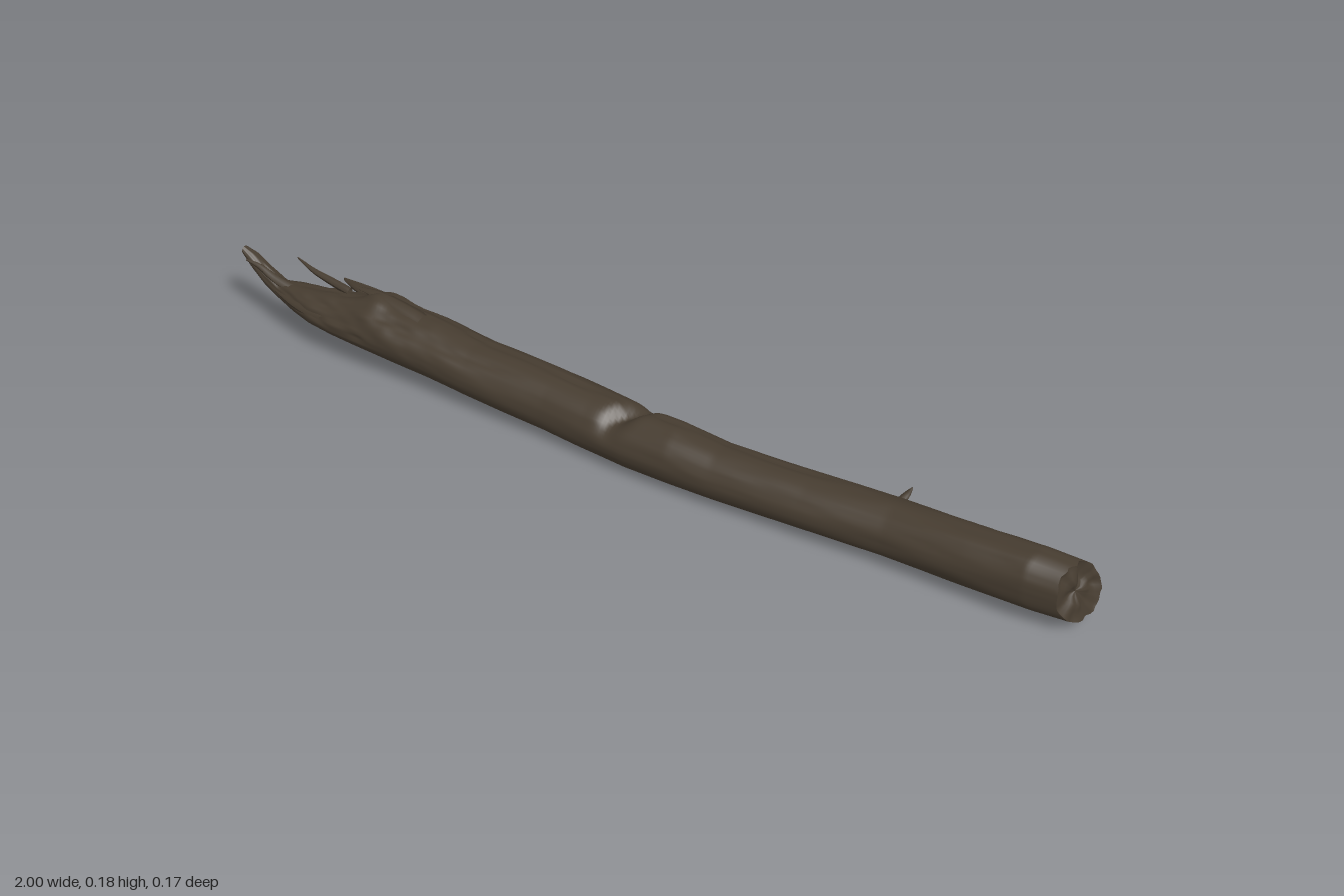
import * as THREE from 'three';

// Stations along the log: x, bottom y, top y, back z, front z
const STATIONS = [
  [-1.0, 0.172, 0.19, -0.006, 0.012],
  [-0.975, 0.14, 0.178, -0.016, 0.016],
  [-0.94, 0.108, 0.152, -0.018, 0.02],
  [-0.9, 0.09, 0.132, -0.018, 0.026],
  [-0.85, 0.077, 0.135, -0.034, 0.042],
  [-0.8, 0.069, 0.142, -0.046, 0.056],
  [-0.74, 0.06, 0.148, -0.062, 0.062],
  [-0.68, 0.053, 0.158, -0.078, 0.066],
  [-0.6, 0.045, 0.162, -0.084, 0.068],
  [-0.5, 0.037, 0.156, -0.082, 0.066],
  [-0.4, 0.029, 0.146, -0.078, 0.068],
  [-0.2, 0.014, 0.14, -0.074, 0.066],
  [-0.1, 0.009, 0.136, -0.068, 0.072],
  [0.0, 0.008, 0.135, -0.056, 0.08],
  [0.1, 0.012, 0.138, -0.05, 0.083],
  [0.2, 0.016, 0.127, -0.049, 0.082],
  [0.4, 0.019, 0.13, -0.055, 0.074],
  [0.58, 0.023, 0.138, -0.058, 0.068],
  [0.75, 0.03, 0.154, -0.042, 0.074],
  [0.9, 0.035, 0.168, -0.036, 0.077],
  [0.98, 0.037, 0.164, -0.036, 0.07],
];
const AROUND = 48;

// Smooth seeded value noise in the range -1 to 1
function hash(i, j, k) {
  const s = Math.sin(i * 127.1 + j * 311.7 + k * 74.7) * 43758.5453;
  return (s - Math.floor(s)) * 2 - 1;
}
function noise(x, y, z) {
  const c = [x, y, z].map(Math.floor);
  const [u, v, w] = [x, y, z].map((n, i) => { const f = n - c[i]; return f * f * (3 - 2 * f); });
  let sum = 0;
  for (let i = 0; i < 2; i++) for (let j = 0; j < 2; j++) for (let k = 0; k < 2; k++) {
    sum += (i ? u : 1 - u) * (j ? v : 1 - v) * (k ? w : 1 - w) * hash(c[0] + i, c[1] + j, c[2] + k);
  }
  return sum;
}
const bell = (d, w) => Math.exp(-(d * d) / (w * w));
const smooth = THREE.MathUtils.smoothstep;

function sectionAt(x) {
  let i = 0;
  while (i < STATIONS.length - 2 && x > STATIONS[i + 1][0]) i++;
  const a = STATIONS[i], b = STATIONS[i + 1];
  const t = (x - a[0]) / (b[0] - a[0]);
  return a.map((v, k) => v + (b[k] - v) * t);
}

// Point on the bark at x and angle a (0 = front, a quarter turn = top)
function barkPoint(x, a) {
  const [, y0, y1, z0, z1] = sectionAt(x);
  const c = Math.cos(a), s = Math.sin(a), up = Math.max(0, s);
  const decay = 1 - smooth(x, -0.75, -0.35);
  const rough = smooth(s, -0.4, 0.5);
  // Long grain, deep furrows on the weathered upper side, and rot at the left
  let r = 1 + 0.03 * noise(x * 7, c * 2, s * 2 + 5) + 0.02 * rough * noise(x * 12, c * 8, s * 8);
  r += decay * rough * (0.1 * noise(x * 14, c * 4 + 9, s * 4) + 0.07 * noise(x * 30, c * 9, s * 9));
  // Winding cracks
  for (const [from, to, mid, sway] of [[-0.75, 0.0, 2.0, 0.3], [0.0, 0.5, 1.9, 0.25], [-0.8, -0.25, 0.9, 0.25]]) {
    const line = mid + sway * noise(x * 6, mid, 3);
    r -= 0.1 * bell(a - line, 0.07) * smooth(x, from, from + 0.06) * (1 - smooth(x, to - 0.1, to));
  }
  // Cross notch at the middle, and the raised torn patch on the left
  r -= 0.42 * up * up * bell(x + 0.015 + 0.03 * c, 0.022);
  r += 0.26 * up ** 3 * bell(x + 0.65, 0.035);
  const y = Math.max(0, (y0 + y1) / 2 + s * r * (y1 - y0) / 2);
  const z = (z0 + z1) / 2 + c * r * (z1 - z0) / 2;
  // The right end is broken off at a slant
  const slant = smooth(x, 0.8, 0.98);
  const px = x + slant * (-0.4 * (z - 0.02) - 0.22 * (y - 0.1) + 0.006 * noise(c * 4, s * 4, 2) - 0.008);
  return new THREE.Vector3(Math.min(px, 1), y, z);
}

// Skin rings of points; each ring runs from front over the top to the back
function skin(rings) {
  const n = rings[0].length, index = [];
  for (let i = 0; i < rings.length - 1; i++) for (let j = 0; j < n; j++) {
    const a = i * n + j, b = i * n + (j + 1) % n, c = a + n, d = b + n;
    index.push(a, b, c, b, d, c);
  }
  const g = new THREE.BufferGeometry().setFromPoints(rings.flat());
  g.setIndex(index);
  g.computeVertexNormals();
  return g;
}
const ringOf = (fn) => Array.from({ length: AROUND }, (_, j) => fn(j / AROUND * Math.PI * 2));

// Tapered crooked splinter along a path
function splinter(points, r0, flat) {
  const curve = new THREE.CatmullRomCurve3(points.map((p) => new THREE.Vector3(...p)));
  const g = new THREE.TubeGeometry(curve, 12, r0, 7);
  const pos = g.attributes.position, v = new THREE.Vector3();
  for (let i = 0; i < pos.count; i++) {
    const t = Math.floor(i / 8) / 12, p = curve.getPointAt(t);
    v.fromBufferAttribute(pos, i).sub(p).multiplyScalar(1 - 0.85 * t * t);
    v.z *= flat;
    v.add(p);
    pos.setXYZ(i, v.x, v.y, v.z);
  }
  g.computeVertexNormals();
  return g;
}

export function createModel() {
  const group = new THREE.Group();
  const wood = new THREE.MeshStandardMaterial({ color: 0x463c30, side: THREE.DoubleSide });
  wood.name = 'weathered wood';
  const add = (name, geometry) => {
    const mesh = new THREE.Mesh(geometry, wood);
    mesh.name = name;
    group.add(mesh);
  };

  // Trunk
  const rings = [];
  for (let i = 0; i <= 260; i++) rings.push(ringOf((a) => barkPoint(-1 + 1.98 * i / 260, a)));
  add('trunk', skin(rings));

  // Broken right end, lumpy and slightly hollow
  const rim = rings[rings.length - 1];
  const mid = rim.reduce((s, p) => s.add(p), new THREE.Vector3()).divideScalar(AROUND);
  const cap = [1, 0.93, 0.8, 0.62, 0.42, 0.2, 0.001].map((k) => rim.map((p) => {
    const q = mid.clone().lerp(p, k);
    q.x += (1 - k ** 4) * (0.012 * noise(q.y * 40, q.z * 40, 7) - 0.006);
    q.x = Math.min(q.x, 1);
    return q;
  }));
  add('brokenEnd', skin(cap));

  // Closed left tip
  const tip = new THREE.Vector3(-1, 0.183, 0.003);
  add('tip', skin([rings[0].map(() => tip.clone()), rings[0]]));

  // Splinters around the rotten left end, each from root to point
  add('upperSplinter', splinter([[-0.74, 0.145, -0.025], [-0.79, 0.153, -0.028], [-0.84, 0.163, -0.03], [-0.885, 0.177, -0.036]], 0.011, 0.8));
  add('backSplinter', splinter([[-0.62, 0.115, -0.062], [-0.7, 0.118, -0.072], [-0.75, 0.122, -0.076], [-0.795, 0.128, -0.078]], 0.023, 0.6));
  add('innerSplinter', splinter([[-0.66, 0.125, -0.045], [-0.73, 0.138, -0.05], [-0.78, 0.142, -0.06]], 0.016, 0.8));
  add('tornBark', splinter([[-0.54, 0.15, -0.01], [-0.6, 0.16, -0.015], [-0.66, 0.168, -0.02], [-0.715, 0.167, -0.022]], 0.013, 1.6));
  add('frontSplinter', splinter([[-0.72, 0.11, 0.045], [-0.8, 0.11, 0.045], [-0.85, 0.115, 0.04], [-0.9, 0.125, 0.032]], 0.015, 0.7));
  add('tipSplinter', splinter([[-0.86, 0.115, 0.005], [-0.92, 0.138, 0.01], [-0.955, 0.158, 0.012], [-0.985, 0.168, 0.018]], 0.014, 0.8));

  // Broken twig on the back
  add('twigStub', splinter([[0.57, 0.105, -0.045], [0.578, 0.118, -0.058], [0.585, 0.133, -0.064]], 0.009, 1));
  return group;
}
